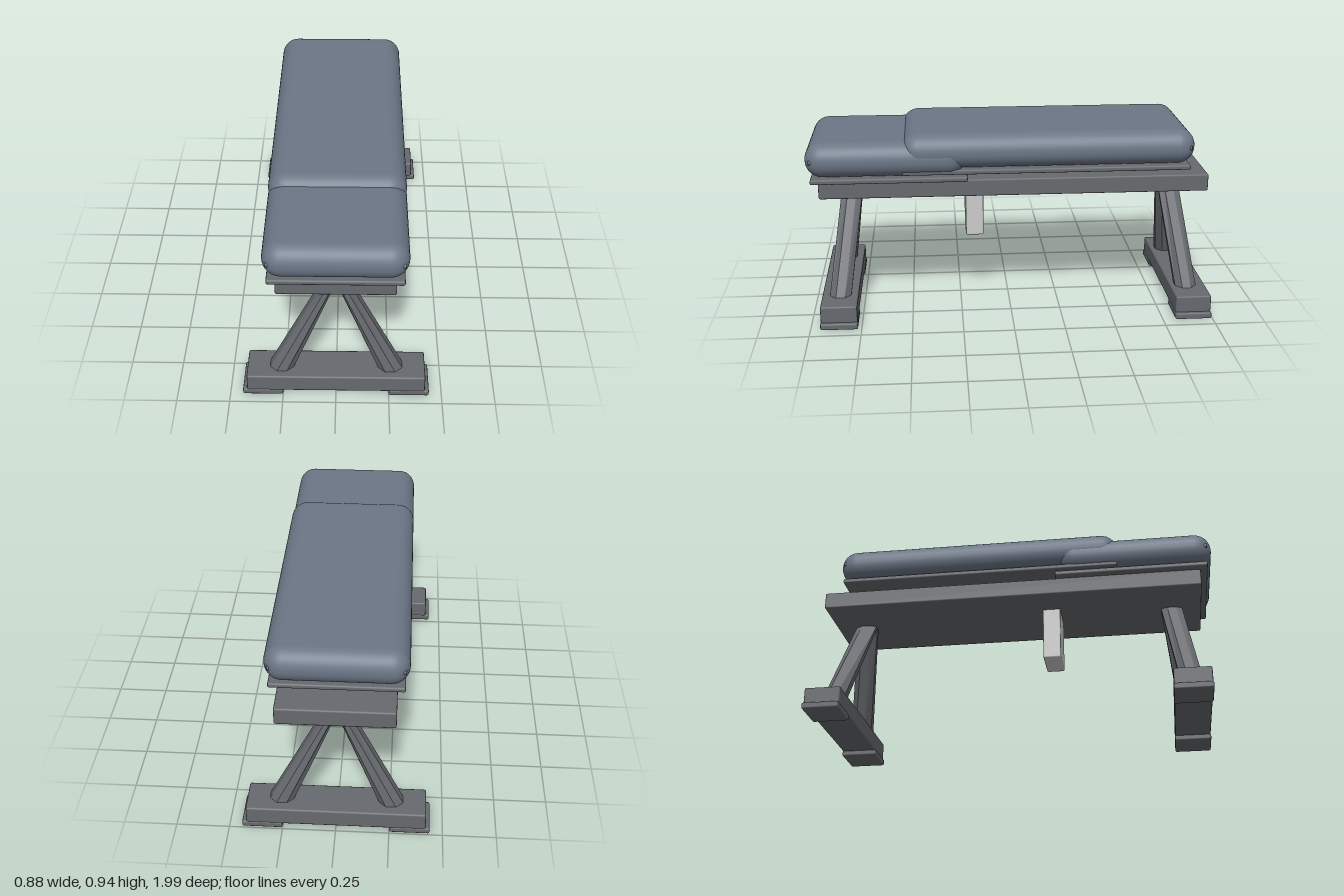
import * as THREE from 'three';
import { RoundedBoxGeometry } from 'three/addons/geometries/RoundedBoxGeometry.js';

const steel = new THREE.MeshStandardMaterial({ color: 0x66696e });
const steelFlat = new THREE.MeshStandardMaterial({ color: 0x66696e, flatShading: true });
const vinyl = new THREE.MeshStandardMaterial({ color: 0x6b7686 });
const plain = new THREE.MeshStandardMaterial({ color: 0xcccccc });

// Box with softened edges, given by its [min, max] extents
function block(name, [x0, x1], [y0, y1], [z0, z1], material, radius = 0.008, segments = 1) {
  const mesh = new THREE.Mesh(
    new RoundedBoxGeometry(x1 - x0, y1 - y0, z1 - z0, segments, radius), material);
  mesh.position.set((x0 + x1) / 2, (y0 + y1) / 2, (z0 + z1) / 2);
  mesh.name = name;
  return mesh;
}

// Padded cushion with a thin line of piping around its middle
function cushion(name, y0, y1, z0, z1) {
  const group = new THREE.Group();
  group.name = name;
  const mid = (y0 + y1) / 2;
  group.add(
    block(name + 'Pad', [-0.323, 0.323], [y0, y1], [z0, z1], vinyl, 0.084, 5),
    block(name + 'Piping', [-0.328, 0.328], [mid - 0.011, mid + 0.011],
      [z0 - 0.002, z1 + 0.002], vinyl, 0.009, 2));
  // round the piping's corners in plan to follow the pad
  const p = group.children[1].geometry.attributes.position;
  const r = 0.086, hx = 0.328 - r, hz = (z1 - z0) / 2 + 0.002 - r;
  for (let i = 0; i < p.count; i++) {
    const dx = Math.abs(p.getX(i)) - hx, dz = Math.abs(p.getZ(i)) - hz;
    const d = Math.hypot(dx, dz);
    if (dx > 0 && dz > 0 && d > r) {
      p.setX(i, Math.sign(p.getX(i)) * (hx + dx * r / d));
      p.setZ(i, Math.sign(p.getZ(i)) * (hz + dz * r / d));
    }
  }
  return group;
}

// Eight-sided leg that leans and narrows from the foot beam to the frame
function leg(side, zBottom, zTop) {
  const g = new THREE.CylinderGeometry(1, 1, 1, 8, 1, false, Math.PI / 8);
  const p = g.attributes.position, k = Math.cos(Math.PI / 8);
  for (let i = 0; i < p.count; i++) {
    const t = p.getY(i) + 0.5;
    const halfWidth = THREE.MathUtils.lerp(0.0575, 0.025, t);
    const x = THREE.MathUtils.lerp(0.2625, 0.004, t) * side;
    p.setXYZ(i,
      x + p.getX(i) / k * halfWidth,
      THREE.MathUtils.lerp(0.1, 0.635, t),
      THREE.MathUtils.lerp(zBottom, zTop, t) + p.getZ(i) / k * 0.053);
  }
  g.computeVertexNormals();
  const mesh = new THREE.Mesh(g, steelFlat);
  mesh.name = side > 0 ? 'leftLeg' : 'rightLeg';
  return mesh;
}

// A-shaped stand: foot beam, two rubber feet and two legs
function stand(name, z0, z1, zBottom, zTop) {
  const group = new THREE.Group();
  group.name = name;
  group.add(block('footBeam', [-0.42, 0.42], [0.025, 0.115], [z0, z1], steel));
  for (const side of [-1, 1]) {
    const xs = side > 0 ? [0.25, 0.44] : [-0.44, -0.25];
    group.add(block('footPad', xs, [0, 0.032], [z0 - 0.002, z1 + 0.002], steel));
    group.add(leg(side, zBottom, zTop));
  }
  return group;
}

export function createModel() {
  const bench = new THREE.Group();
  bench.name = 'weightBench';

  // Main frame and the boards under the cushions
  bench.add(block('frame', [-0.27, 0.27], [0.62, 0.706], [-0.98, 0.94], steel));
  bench.add(block('seatBoard', [-0.305, 0.305], [0.705, 0.73], [0.215, 0.975], steel));
  bench.add(block('backBoard', [-0.305, 0.305], [0.742, 0.766], [-0.88, 0.53], steel));

  // Cushions
  bench.add(cushion('seatCushion', 0.73, 0.903, 0.222, 0.998));
  bench.add(cushion('backCushion', 0.765, 0.938, -0.903, 0.533));

  // Adjustment post hanging through the frame
  bench.add(block('adjustmentPost', [-0.095, 0.095], [0.35, 0.75], [0.13, 0.22], plain));

  // Front and rear stands
  bench.add(stand('frontStand', 0.77, 0.95, 0.86, 0.787));
  bench.add(stand('rearStand', -0.993, -0.815, -0.894, -0.822));

  return bench;
}
